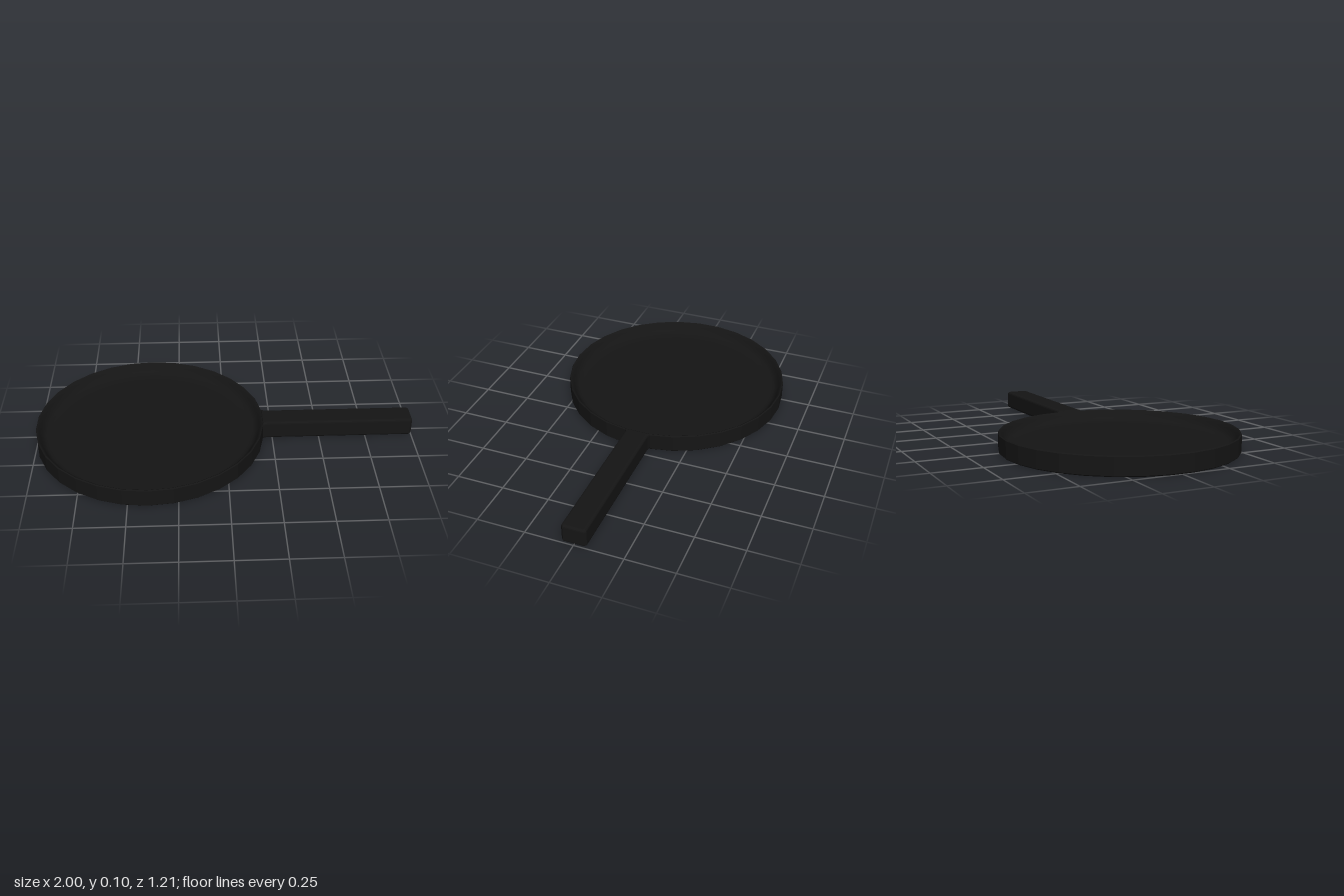
import * as THREE from 'three';

const PAN_X = -0.4;

export function createModel() {
  const group = new THREE.Group();
  group.name = 'fryingPan';
  const faceted = new THREE.MeshStandardMaterial({ color: 0x151515, flatShading: true });
  const smooth = new THREE.MeshStandardMaterial({ color: 0x151515 });

  // 30-sided surface turned around the pan's centre from [radius, height] points
  const turn = (name, points, material) => {
    const profile = points.map(([r, y]) => new THREE.Vector2(r, y));
    const mesh = new THREE.Mesh(new THREE.LatheGeometry(profile, 30), material);
    mesh.name = name;
    mesh.position.x = PAN_X;
    group.add(mesh);
  };

  // Underside and outer wall, then the hollow curving down from a thin rim to the floor
  turn('outerShell', [[0, 0], [0.598, 0], [0.603, 0.005], [0.603, 0.091], [0.599, 0.096]], faceted);
  turn('cookingSurface', [
    [0.599, 0.096], [0.592, 0.092], [0.582, 0.075], [0.57, 0.056],
    [0.555, 0.045], [0.535, 0.041], [0.5, 0.04], [0, 0.04],
  ], smooth);

  // Bar handle with rounded edges, flaring slightly where it meets the dish
  const bevel = 0.012;
  const halfWidth = 0.063 - bevel;
  const tip = 0.998 - bevel;
  const outline = new THREE.Shape();
  outline.moveTo(0.205, -halfWidth - 0.005);
  outline.lineTo(0.217, -halfWidth);
  outline.lineTo(tip - 0.004, -halfWidth);
  outline.lineTo(tip, -halfWidth + 0.004);
  outline.lineTo(tip, halfWidth - 0.004);
  outline.lineTo(tip - 0.004, halfWidth);
  outline.lineTo(0.217, halfWidth);
  outline.lineTo(0.205, halfWidth + 0.005);
  outline.closePath();
  const bar = new THREE.ExtrudeGeometry(outline, {
    depth: 0.098 - 2 * bevel, bevelThickness: bevel, bevelSize: bevel, bevelSegments: 3,
  });
  bar.rotateX(-Math.PI / 2);
  const handle = new THREE.Mesh(bar, faceted);
  handle.name = 'handle';
  handle.position.y = 0.004 + bevel;
  group.add(handle);

  return group;
}
